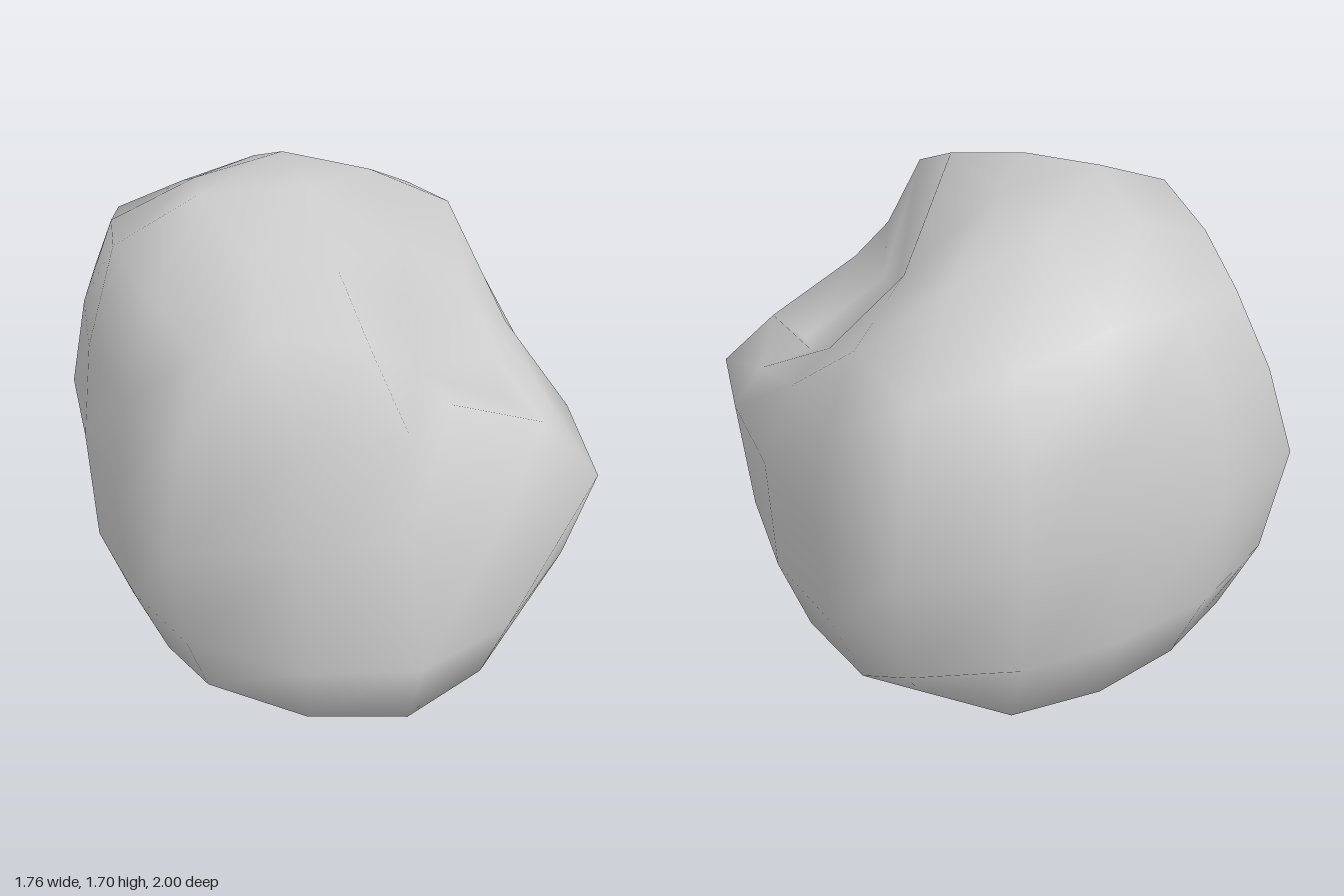
import * as THREE from 'three';
import { mergeVertices } from 'three/addons/utils/BufferGeometryUtils.js';

// Hand-placed points: grid point of the cube -> sculpted position
const placed = [
  // scooped upper corner
  [0, 1, 1, -0.1, 1.5, 0.7],
  [0, 1, 0.5, -0.1, 1.62, 0.43],
  [0.5, 0.5, 1, 0.22, 1.18, 0.64],
  [1, 0.5, 1, 0.58, 1.02, 0.62],
  [1, 0, 1, 0.76, 0.82, 0.72],
  [0.5, 1, 1, 0.2, 1.18, 0.42],
  [1, 1, 1, 0.53, 1.0, 0.42],
  [1, 0.5, 0.5, 0.72, 0.95, 0.38],
  [1, 1, 0.5, 0.58, 1.07, 0.22],
  [0.5, 1, 0.5, 0.24, 1.25, 0.2],
  [1, 1, 0, 0.59, 1.19, 0],
  [0.5, 1, 0, 0.33, 1.43, -0.06],
  [1, 0.5, 0, 0.73, 1.07, 0.02],
  // worn corners and crest
  [-0.5, 1, 1, -0.4, 1.5, 0.56],
  [-0.5, 1, 0, -0.41, 1.7, -0.1],
  [0, 1, 0, -0.02, 1.68, -0.1],
  [1, 1, -1, 0.62, 1.36, -0.72],
  [1, -1, -1, 0.58, 0.12, -0.62],
  [1, -1, 1, 0.53, 0.13, 0.51],
];

// Blend of a cube coordinate towards the sphere
function rounded(a, b, c, amount) {
  const s = Math.sqrt(1 - (b * b) / 2 - (c * c) / 2 + (b * b * c * c) / 3);
  return a * (1 - amount + amount * s);
}

function sculpt(x, y, z) {
  const hit = placed.find((p) => p[0] === x && p[1] === y && p[2] === z);
  if (hit) return hit.slice(3);
  const taper = 1 - 0.05 * Math.max(y, -0.5);
  // corners are worn more than edges
  const worn = 1 - 0.12 * Math.abs(x * y * z);
  const px = 0.88 * taper * worn * rounded(x, y, z, 0.5);
  let py = 0.85 + 0.85 * (y < 0 ? rounded(y, x, z, 0.3) : worn * rounded(y, x, z, 0.5));
  let pz = -0.07 + 0.93 * taper * worn * rounded(z, x, y, 0.5);
  // top slopes down towards +x and the back, lower ring sits low
  if (y > 0) py -= 0.12 * Math.max(0, x) * y * y;
  if (y === 1 && z === -1) py -= 0.06 * (1 - x * x);
  if (y === -0.5) py -= 0.06;
  // back is flat across the middle
  if (z === -1 && Math.abs(x) === 0.5 && y < 1) pz -= 0.02;
  // front falls back at the sides and bulges low in the middle
  if (z === 1) pz -= 0.05 * x * x;
  if (z === 1 && y < 0) pz += 0.15 * (1 - x * x);
  return [px, py, pz];
}

export function createModel() {
  const group = new THREE.Group();
  group.name = 'rock';

  // Boulder: one smooth-shaded, rounded cube grid
  let geometry = new THREE.BoxGeometry(2, 2, 2, 4, 4, 4);
  geometry.deleteAttribute('uv');
  geometry.deleteAttribute('normal');
  geometry.clearGroups();
  geometry = mergeVertices(geometry);
  const pos = geometry.attributes.position;
  for (let i = 0; i < pos.count; i++) {
    pos.setXYZ(i, ...sculpt(pos.getX(i), pos.getY(i), pos.getZ(i)));
  }
  geometry.computeVertexNormals();

  const boulder = new THREE.Mesh(geometry, new THREE.MeshStandardMaterial({ color: 0xcccccc }));
  boulder.name = 'boulder';
  group.add(boulder);
  return group;
}
